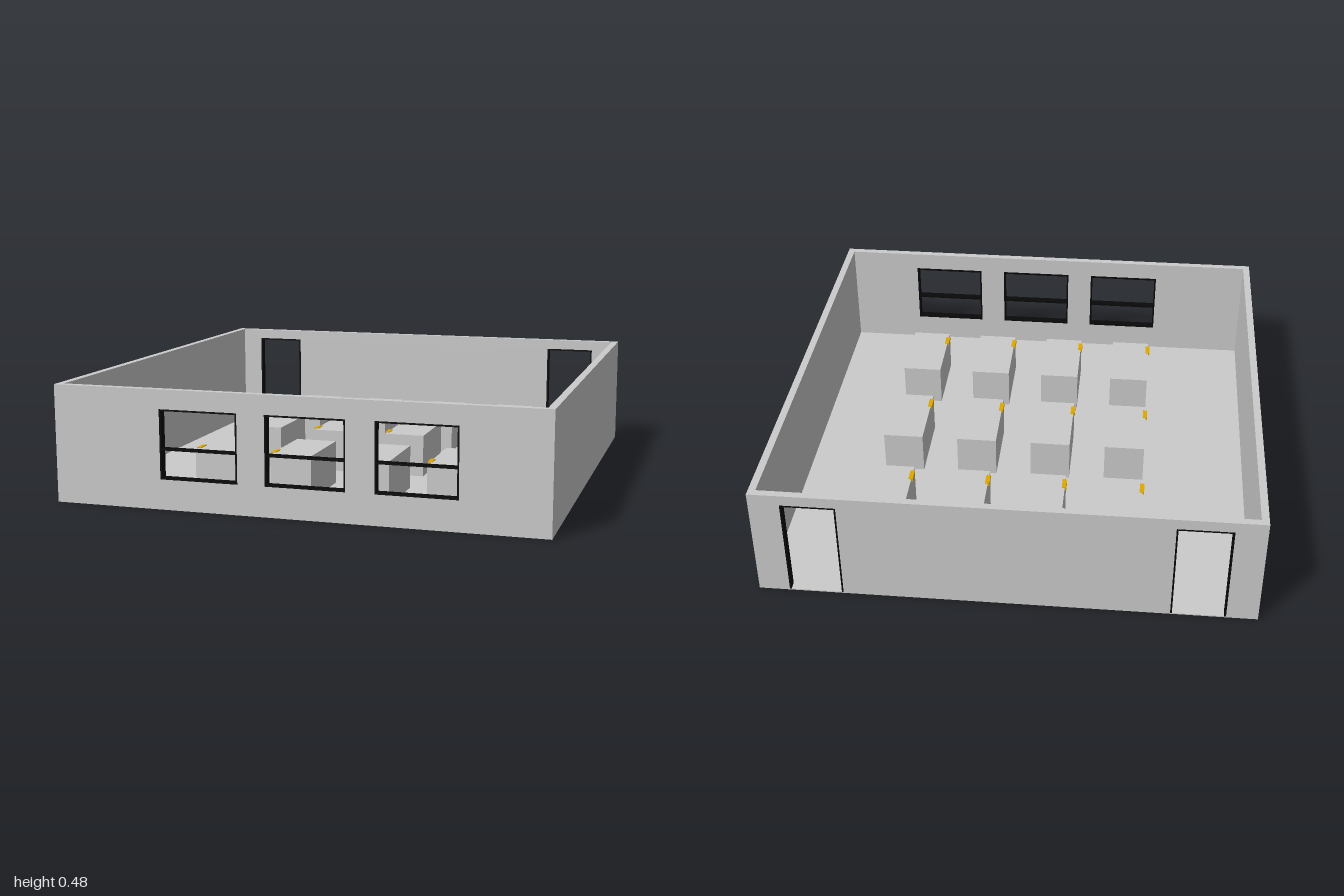
import * as THREE from 'three';

const grey = new THREE.MeshStandardMaterial({ color: 0xcccccc });
const black = new THREE.MeshStandardMaterial({ color: 0x080808 });
const yellow = new THREE.MeshStandardMaterial({ color: 0xe0a800 });

const H = 0.48, T = 0.03, FLOOR = 0.005;

// Box given by its min and max corners
function box(parent, name, mat, x0, x1, y0, y1, z0, z1) {
  const mesh = new THREE.Mesh(new THREE.BoxGeometry(x1 - x0, y1 - y0, z1 - z0), mat);
  mesh.position.set((x0 + x1) / 2, (y0 + y1) / 2, (z0 + z1) / 2);
  mesh.name = name;
  parent.add(mesh);
  return mesh;
}

// Wall outline extruded to the wall thickness, starting at z
function wall(parent, name, points, holes, z) {
  const shape = new THREE.Shape(points.map(p => new THREE.Vector2(...p)));
  for (const [x0, x1, y0, y1] of holes) {
    shape.holes.push(new THREE.Path([[x0, y0], [x0, y1], [x1, y1], [x1, y0]].map(p => new THREE.Vector2(...p))));
  }
  const mesh = new THREE.Mesh(new THREE.ExtrudeGeometry(shape, { depth: T, bevelEnabled: false }), grey);
  mesh.position.z = z;
  mesh.name = name;
  parent.add(mesh);
}

// Thin dark lining of an opening, as deep as the wall
function frame(parent, name, [x0, x1, y0, y1], z0, z1, barY) {
  const g = new THREE.Group(), w = 0.007;
  g.name = name;
  box(g, 'frameSide', black, x0, x0 + w, y0, y1, z0, z1);
  box(g, 'frameSide', black, x1 - w, x1, y0, y1, z0, z1);
  box(g, 'frameTop', black, x0 + w, x1 - w, y1 - w, y1, z0, z1);
  if (barY) {
    box(g, 'frameSill', black, x0 + w, x1 - w, y0, y0 + w, z0, z1);
    box(g, 'frameCrossbar', black, x0 + w, x1 - w, barY - w / 2, barY + w / 2, z0, z1);
  }
  parent.add(g);
}

export function createModel() {
  const room = new THREE.Group();
  room.name = 'classroom';

  // Floor and side walls
  box(room, 'floor', grey, -1 + T, 1 - T, 0, FLOOR, -1 + T, 1 - T);
  for (const s of [-1, 1]) {
    const a = s * (1 - T), b = s;
    box(room, s > 0 ? 'leftWall' : 'rightWall', grey, Math.min(a, b), Math.max(a, b), 0, H, -1 + T, 1 - T);
  }

  // Front wall with three windows
  const windows = [-0.547, -0.11, 0.328].map(x => [x, x + 0.324, 0.122, 0.402]);
  wall(room, 'frontWall', [[-1, 0], [1, 0], [1, H], [-1, H]], windows, 1 - T);
  windows.forEach(o => frame(room, 'windowFrame', o, 1 - T - 0.005, 1, 0.242));

  // Back wall with two doorways reaching the floor
  const d0 = 0.655, d1 = 0.875, dh = 0.435;
  wall(room, 'backWall', [
    [-1, 0], [-d1, 0], [-d1, dh], [-d0, dh], [-d0, 0],
    [d0, 0], [d0, dh], [d1, dh], [d1, 0], [1, 0], [1, H], [-1, H],
  ], [], -1);
  for (const [x0, x1] of [[-d1, -d0], [d0, d1]]) {
    box(room, 'threshold', grey, x0, x1, 0, FLOOR, -1, -1 + T);
    frame(room, 'doorFrame', [x0, x1, FLOOR, dh], -1, -1 + T + 0.005);
  }

  // Desks in three rows of four, each with a small yellow handle
  for (const z of [-0.548, -0.003, 0.543]) {
    for (const x of [-0.525, -0.197, 0.13, 0.458]) {
      const desk = new THREE.Group();
      desk.name = 'desk';
      desk.position.set(x, 0, z);
      box(desk, 'deskBody', grey, 0, 0.173, FLOOR, 0.185, -0.163, 0.163);
      box(desk, 'deskHandle', yellow, -0.007, 0.012, 0.174, 0.188, 0.075, 0.132);
      room.add(desk);
    }
  }
  return room;
}
